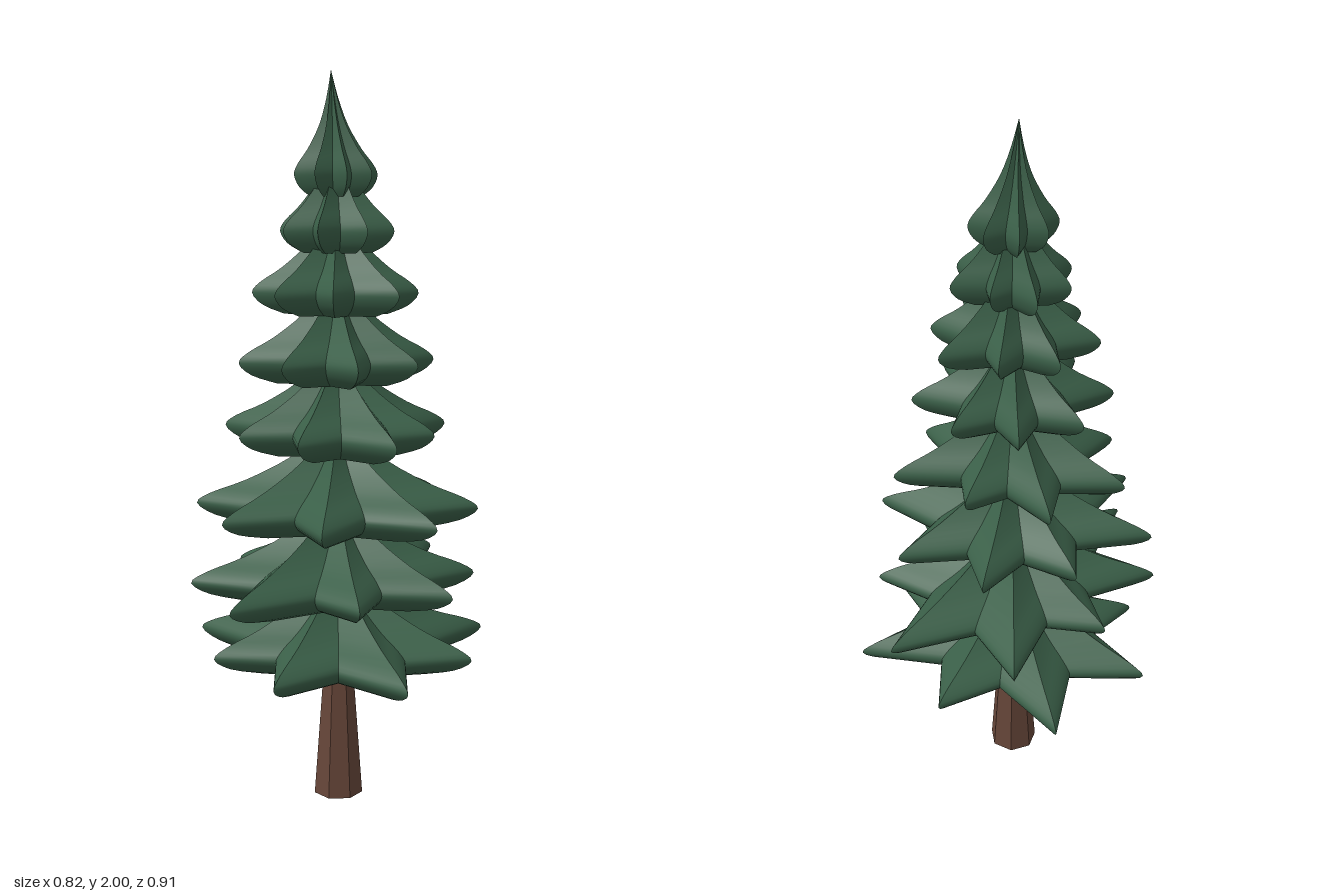
import * as THREE from 'three';

const needleGreen = new THREE.MeshStandardMaterial({ color: 0x3a5f48 });
needleGreen.name = 'needleGreen';
const barkBrown = new THREE.MeshStandardMaterial({ color: 0x664639, flatShading: true });
barkBrown.name = 'barkBrown';

const TIER_HEIGHT = 0.33;
const VALLEY = 0.6; // notch radius relative to the neighbouring tips

// Base height and the eight branch-tip radii of each tier
const TIERS = [
  [0.375, [0.39, 0.46, 0.43, 0.365, 0.43, 0.47, 0.405, 0.45]],
  [0.567, [0.376, 0.375, 0.463, 0.408, 0.357, 0.453, 0.47, 0.386]],
  [0.772, [0.4, 0.416, 0.39, 0.395, 0.325, 0.343, 0.363, 0.385]],
  [0.98, [0.35, 0.305, 0.29, 0.335, 0.325, 0.27, 0.335, 0.275]],
  [1.172, [0.255, 0.27, 0.26, 0.27, 0.245, 0.25, 0.24, 0.27]],
  [1.357, [0.24, 0.215, 0.22, 0.23, 0.21, 0.2, 0.23, 0.22]],
  [1.522, [0.17, 0.17, 0.16, 0.16, 0.17, 0.14, 0.17, 0.16]],
  [1.67, [0.11, 0.115, 0.11, 0.115, 0.11, 0.12, 0.12, 0.115]],
];

// Skirt profile: radius fraction against height fraction
const profile = new THREE.SplineCurve([
  [0.62, 0], [0.87, 0.07], [1, 0.17], [0.9, 0.26], [0.64, 0.38],
  [0.34, 0.57], [0.14, 0.78], [0, 1],
].map(([r, t]) => new THREE.Vector2(r, t))).getPoints(21);

// Gently leaning axis of the tree
const lean = new THREE.CatmullRomCurve3([
  new THREE.Vector3(0.016, 0.375, 0.008), new THREE.Vector3(0.012, 1, 0.004),
  new THREE.Vector3(0.004, 1.72, -0.003), new THREE.Vector3(-0.01, 2, 0),
]);
function axisAt(y) {
  const p = lean.points;
  let i = 0;
  while (i < p.length - 2 && y > p[i + 1].y) i++;
  const k = THREE.MathUtils.clamp((y - p[i].y) / (p[i + 1].y - p[i].y), 0, 1);
  return p[i].clone().lerp(p[i + 1], k);
}

// Star-shaped skirt: smooth up the profile, creased at every ridge and notch
function tierGeometry(base, tips, turn) {
  const n = tips.length * 2;
  const radius = (i) => {
    const k = Math.floor((i % n) / 2);
    return i % 2 ? VALLEY * (tips[k] + tips[(k + 1) % tips.length]) / 2 : tips[k];
  };
  const pos = [], index = [];
  const add = (i, r, t) => {
    const y = base + t * TIER_HEIGHT;
    const c = axisAt(y);
    const a = turn + (i / n) * Math.PI * 2;
    const f = Math.max(r, 0) * radius(i);
    pos.push(c.x + Math.cos(a) * f, y, c.z + Math.sin(a) * f);
  };
  for (let i = 0; i < n; i++) {
    // One facet strip from hem to apex
    const s = pos.length / 3;
    profile.forEach((p, j) => {
      add(i, p.x, p.y);
      add(i + 1, p.x, p.y);
      if (j === 0) return;
      const a = s + 2 * (j - 1);
      index.push(a, a + 2, a + 1);
      if (j < profile.length - 1) index.push(a + 1, a + 2, a + 3);
    });
    // Matching slice of the underside
    const b = pos.length / 3;
    add(i, 0, 0);
    add(i, profile[0].x, 0);
    add(i + 1, profile[0].x, 0);
    index.push(b, b + 1, b + 2);
  }
  const g = new THREE.BufferGeometry();
  g.setAttribute('position', new THREE.Float32BufferAttribute(pos, 3));
  g.setIndex(index);
  g.computeVertexNormals();
  return g;
}

export function createModel() {
  const tree = new THREE.Group();
  tree.name = 'pineTree';

  // Tapered trunk
  const trunk = new THREE.Mesh(new THREE.CylinderGeometry(0.036, 0.069, 0.45, 7), barkBrown);
  trunk.name = 'trunk';
  trunk.position.set(0.015, 0.225, 0.007);
  tree.add(trunk);

  // Foliage tiers, each turned a little further than the one below
  TIERS.forEach(([base, tips], i) => {
    const turn = THREE.MathUtils.degToRad((i * 14) % 45);
    const tier = new THREE.Mesh(tierGeometry(base, tips, turn), needleGreen);
    tier.name = `foliageTier${i + 1}`;
    tree.add(tier);
  });
  return tree;
}
